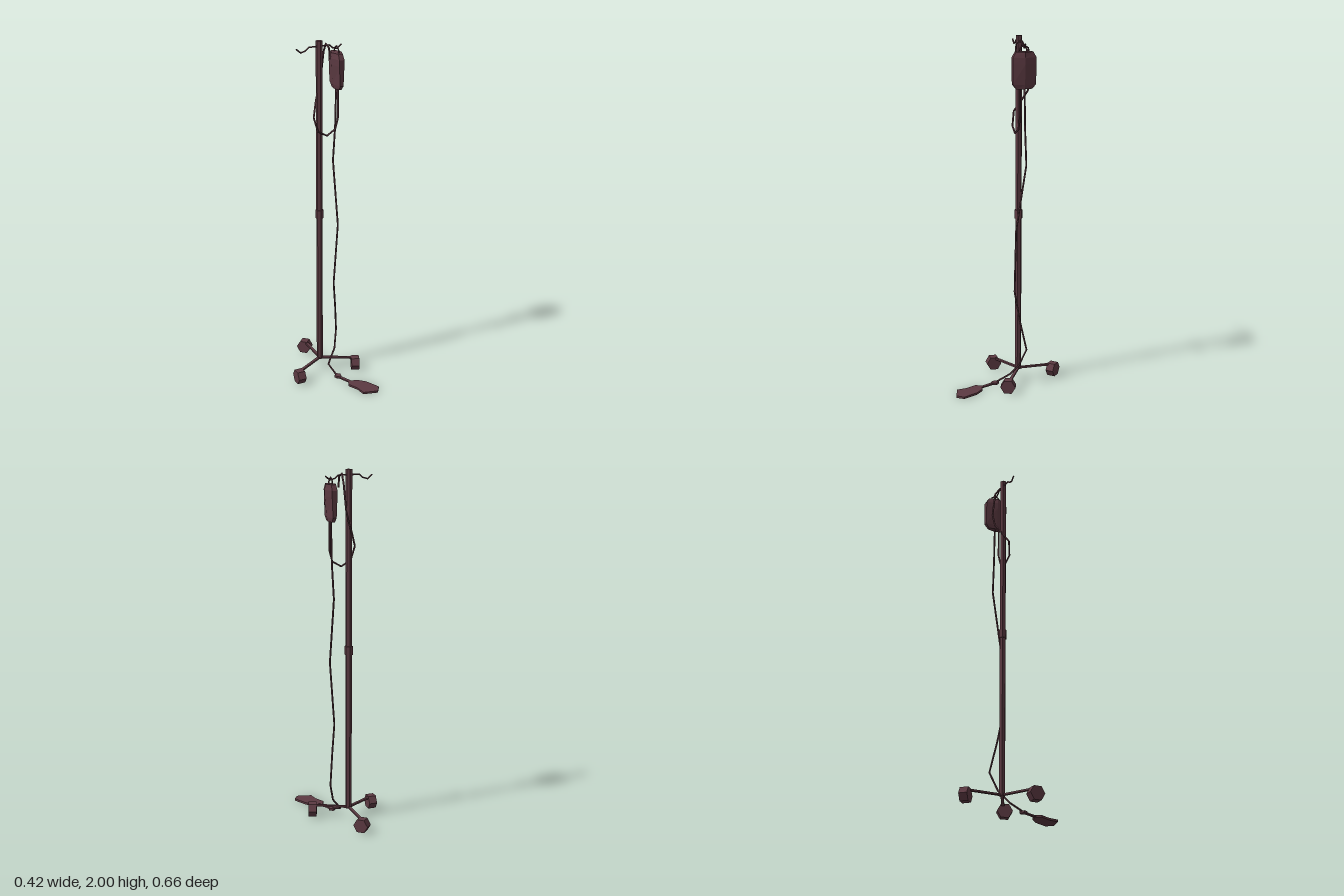
import * as THREE from 'three';

const material = new THREE.MeshStandardMaterial({ color: 0x5c3a42, flatShading: true, side: THREE.DoubleSide });
const POLE = { x: -0.008, z: -0.077 };

// Kinked path: one tube ring per listed point
class KinkedPath extends THREE.Curve {
  constructor(points) {
    super();
    this.points = points.map((p) => new THREE.Vector3(...p));
  }
  index(u) {
    return Math.round(u * (this.points.length - 1));
  }
  getPointAt(u, target = new THREE.Vector3()) {
    return target.copy(this.points[this.index(u)]);
  }
  getTangentAt(u, target = new THREE.Vector3()) {
    const i = this.index(u), p = this.points;
    const before = p[Math.max(i - 1, 0)], here = p[i], after = p[Math.min(i + 1, p.length - 1)];
    const a = here.clone().sub(before).normalize(), b = after.clone().sub(here).normalize();
    return target.copy(a.add(b)).normalize();
  }
}

function tube(points, radius, sides = 5) {
  return new THREE.TubeGeometry(new KinkedPath(points), points.length - 1, radius, sides, false);
}

// Hexagonal loft through levels of [y, half width x, half depth z]
function hexLoft(levels) {
  const positions = [], index = [];
  for (const [y, hx, hz] of levels) {
    for (const [x, z] of [[1, 0], [0.45, 1], [-0.45, 1], [-1, 0], [-0.45, -1], [0.45, -1]]) {
      positions.push(x * hx, y, z * hz);
    }
  }
  for (let l = 0; l < levels.length - 1; l++) {
    for (let i = 0; i < 6; i++) {
      const a = l * 6 + i, b = l * 6 + (i + 1) % 6;
      index.push(a, a + 6, b, b, a + 6, b + 6);
    }
  }
  const geometry = new THREE.BufferGeometry();
  geometry.setAttribute('position', new THREE.Float32BufferAttribute(positions, 3));
  geometry.setIndex(index);
  geometry.computeVertexNormals();
  return geometry;
}

// Flat plate lying on the floor from an [x, z] outline
function plate(outline, y, thickness) {
  const shape = new THREE.Shape(outline.map(([x, z]) => new THREE.Vector2(x, -z)));
  const geometry = new THREE.ExtrudeGeometry(shape, { depth: thickness, bevelEnabled: false });
  return geometry.rotateX(-Math.PI / 2).translate(0, y, 0);
}

// Flat bar between two [x, z] points
function bar([x1, z1], [x2, z2], y, width, height) {
  const dx = x2 - x1, dz = z2 - z1;
  const geometry = new THREE.BoxGeometry(width, height, Math.hypot(dx, dz));
  return geometry.rotateY(Math.atan2(dx, dz)).translate((x1 + x2) / 2, y, (z1 + z2) / 2);
}

export function createModel() {
  const model = new THREE.Group();
  const add = (name, geometry, x = 0, y = 0, z = 0) => {
    const mesh = new THREE.Mesh(geometry, material);
    mesh.name = name;
    mesh.position.set(x, y, z);
    model.add(mesh);
    return mesh;
  };

  // Pole in two joined lengths
  add('pole', new THREE.CylinderGeometry(0.018, 0.018, 1.935, 6), POLE.x, 1.0325, POLE.z);
  add('poleCollar', new THREE.CylinderGeometry(0.023, 0.023, 0.05, 6), POLE.x, 1.0, POLE.z);

  // Three legs with casters: leg end, wheel centre, wheel axis turn
  const feet = [
    { name: 'right', end: [-0.199, 0.031], wheel: [-0.188, 0.027], turn: 0 },
    { name: 'left', end: [0.185, 0.026], wheel: [0.174, 0.029], turn: -0.36 },
    { name: 'back', end: [-0.008, -0.297], wheel: [-0.008, -0.288], turn: Math.PI / 4 },
  ];
  for (const foot of feet) {
    add(foot.name + 'Leg', bar([POLE.x, POLE.z], foot.end, 0.071, 0.016, 0.01));
    const wheel = new THREE.CylinderGeometry(0.043, 0.043, 0.047, 6).rotateZ(Math.PI / 2).rotateY(foot.turn);
    add(foot.name + 'Wheel', wheel, foot.wheel[0], 0.042, foot.wheel[1]);
  }

  // Hooks on both sides of the pole top
  for (const side of [-1, 1]) {
    const path = [[0, 1.97], [0.06, 1.97], [0.08, 1.953], [0.108, 1.945], [0.134, 1.967]]
      .map(([x, y]) => [POLE.x + side * x, y, POLE.z]);
    add(side < 0 ? 'rightHook' : 'leftHook', tube(path, 0.0045));
  }

  // Fluid bag and its hanging loop
  add('bag', hexLoft([
    [1.725, 0, 0], [1.725, 0.018, 0.045], [1.75, 0.023, 0.065], [1.86, 0.033, 0.065],
    [1.895, 0.034, 0.065], [1.925, 0.029, 0.048], [1.925, 0, 0],
  ]), 0.097, 0, POLE.z);
  add('bagLoop', tube([
    [0.097, 1.92, -0.105], [0.097, 1.945, -0.1], [0.097, 1.96, -0.077],
    [0.097, 1.945, -0.054], [0.097, 1.92, -0.049],
  ], 0.004));

  // Spare line looped beside the pole and over the hook
  add('loopedLine', tube([
    [0.095, 1.74, -0.055], [0.095, 1.56, -0.055], [0.078, 1.5, -0.052], [0.025, 1.47, -0.047],
    [-0.03, 1.5, -0.047], [-0.05, 1.58, -0.06], [-0.015, 1.66, -0.105], [0.005, 1.7, -0.125],
    [0.027, 1.78, -0.13], [0.035, 1.93, -0.11], [0.034, 1.978, -0.08],
    [0.038, 1.96, -0.05], [0.04, 1.9, -0.045],
  ], 0.0055));

  // Main line from bag to floor
  add('dripLine', tube([
    [0.097, 1.74, -0.08], [0.094, 1.5, -0.085], [0.086, 1.3, -0.095], [0.089, 0.93, -0.037],
    [0.063, 0.565, -0.036], [0.085, 0.4, -0.06], [0.109, 0.225, -0.095], [0.08, 0.12, -0.057],
    [0.04, 0.07, -0.032], [0.021, 0.045, -0.018], [0.033, 0.012, 0.065],
  ], 0.0055));

  // Floor end: connector, strap and flat pad
  add('connector', plate([
    [0.038, 0.05], [0.057, 0.068], [0.053, 0.088], [0.042, 0.1], [0.024, 0.088], [0.018, 0.068],
  ], 0.002, 0.013));
  add('strap', bar([0.04, 0.085], [0.08, 0.175], 0.007, 0.018, 0.008));
  add('pad', plate([
    [0.065, 0.16], [0.113, 0.166], [0.156, 0.208], [0.195, 0.29], [0.168, 0.329],
    [0.085, 0.308], [0.077, 0.251], [0.048, 0.191],
  ], 0, 0.012));

  return model;
}
